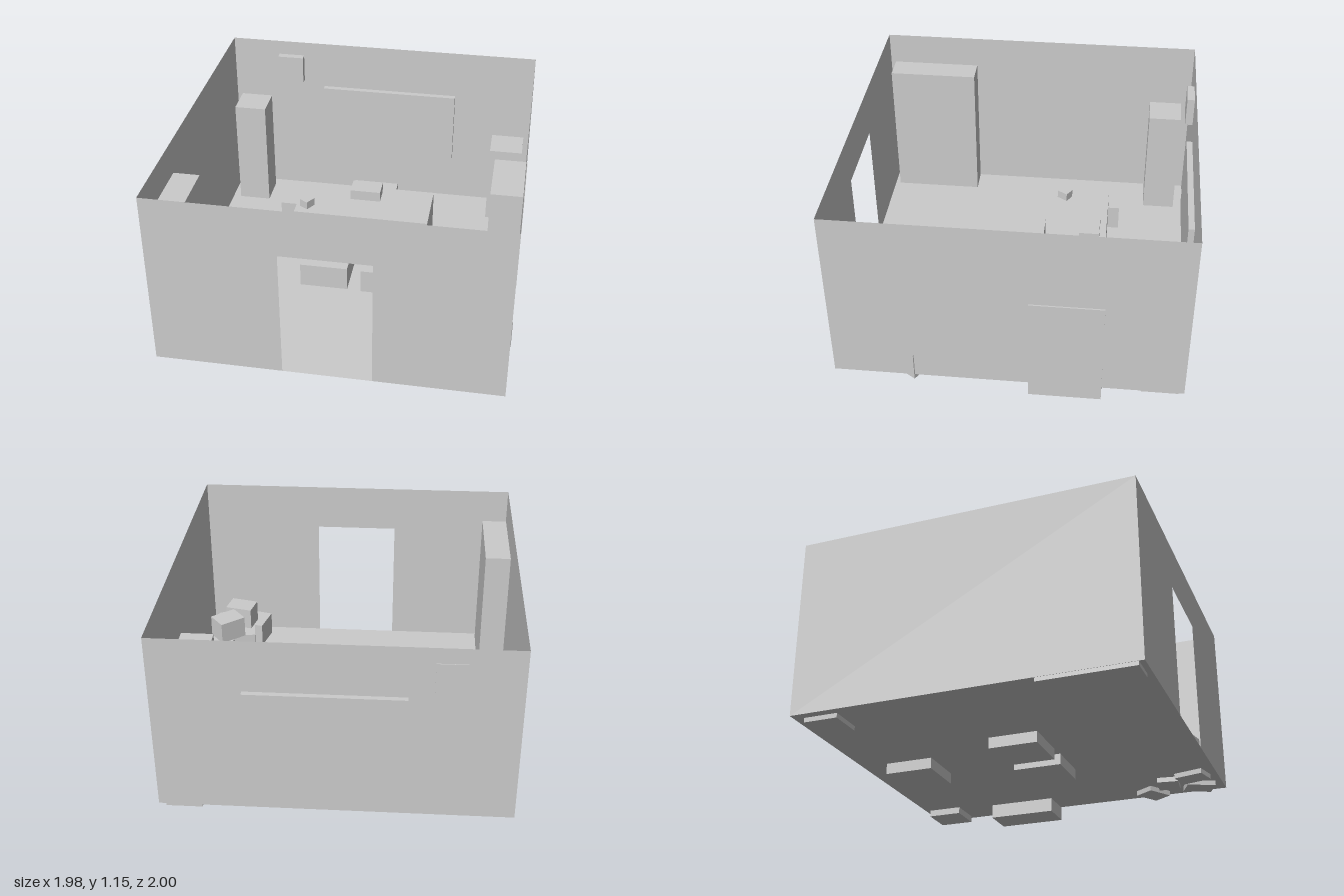
import * as THREE from 'three';

const LEFT = -0.99, RIGHT = 0.978, BACK = -0.97, FRONT = 1, FLOOR = 0.085, TOP = 1.155;

export function createModel() {
  const model = new THREE.Group();
  const material = new THREE.MeshStandardMaterial({ color: 0xcccccc, flatShading: true });
  const sheet = new THREE.MeshStandardMaterial({ color: 0xcccccc, side: THREE.DoubleSide });

  const add = (name, geometry, mat) => {
    const mesh = new THREE.Mesh(geometry, mat);
    mesh.name = name;
    model.add(mesh);
    return mesh;
  };

  // Box given by its extents along x, y and z
  const block = (name, [x0, x1], [y0, y1], [z0, z1]) => {
    const mesh = add(name, new THREE.BoxGeometry(x1 - x0, y1 - y0, z1 - z0), material);
    mesh.position.set((x0 + x1) / 2, (y0 + y1) / 2, (z0 + z1) / 2);
    return mesh;
  };

  // Box turned about the vertical axis, given by centre and size
  const turnedBlock = (name, x, z, w, d, [y0, y1], degrees) => {
    const mesh = block(name, [x - w / 2, x + w / 2], [y0, y1], [z - d / 2, z + d / 2]);
    mesh.rotation.y = -THREE.MathUtils.degToRad(degrees);
  };

  // Thin room shell: floor, back wall and side walls
  const width = RIGHT - LEFT, depth = FRONT - BACK, height = TOP - FLOOR;
  const midX = (LEFT + RIGHT) / 2, midY = (FLOOR + TOP) / 2, midZ = (FRONT + BACK) / 2;
  const floor = add('floor', new THREE.PlaneGeometry(width, depth), sheet);
  floor.rotation.x = -Math.PI / 2;
  floor.position.set(midX, FLOOR, midZ);

  const backWall = add('backWall', new THREE.PlaneGeometry(width, height), sheet);
  backWall.rotation.y = Math.PI;
  backWall.position.set(midX, midY, BACK);

  for (const [name, x, turn] of [['leftWall', RIGHT, 1], ['rightWall', LEFT, -1]]) {
    const wall = add(name, new THREE.PlaneGeometry(depth, height), sheet);
    wall.rotation.y = turn * Math.PI / 2;
    wall.position.set(x, midY, midZ);
  }

  // Front wall with a doorway down to the floor
  const outline = [
    [LEFT, FLOOR], [-0.26, FLOOR], [-0.26, 0.872], [0.245, 0.872],
    [0.245, FLOOR], [RIGHT, FLOOR], [RIGHT, TOP], [LEFT, TOP],
  ].map(([x, y]) => new THREE.Vector2(x, y));
  add('frontWall', new THREE.ShapeGeometry(new THREE.Shape(outline)), sheet).position.z = FRONT;

  // Desk and the things on it
  block('desk', [-0.43, 0.41], [0.09, 0.4], [-0.48, -0.12]);
  block('deskMachine', [-0.105, 0.085], [0.4, 0.465], [-0.44, -0.32]);
  turnedBlock('mug', -0.36, -0.203, 0.06, 0.07, [0.4, 0.45], 32);

  // Seats around the desk
  block('visitorChair', [-0.325, -0.035], [0.02, 0.235], [-0.085, 0.205]);
  block('visitorChair', [0.05, 0.335], [0.02, 0.235], [-0.078, 0.212]);
  block('deskChair', [-0.155, 0.135], [0.02, 0.235], [-0.81, -0.52]);

  // Furniture along the walls
  block('sideCabinet', [-0.988, -0.835], [0.062, 0.96], [0.43, 0.97]);
  block('cornerCabinet', [-0.94, -0.74], [0.058, 0.78], [-0.91, -0.71]);
  block('cornerStand', [0.74, 0.945], [0.045, 0.6], [-0.94, -0.73]);
  block('lowCabinet', [0.782, 0.986], [0, 0.67], [-0.51, -0.1]);
  block('wasteBin', [-0.585, -0.47], [0.09, 0.25], [-0.55, -0.43]);

  // Panels hung on the back wall
  block('wallBoard', [-0.39, 0.48], [0.39, 0.85], [-1, -0.935]);
  block('wallClock', [-0.69, -0.525], [0.885, 1.063], [-0.975, -0.925]);

  // Pile of cartons in the front corner: x, z, width, depth, degrees
  const lower = [0.055, 0.235], upper = [0.235, 0.373];
  const cartons = [
    [0.88, 0.553, 0.164, 0.128, 33, lower],
    [0.735, 0.688, 0.15, 0.13, -8, lower],
    [0.66, 0.855, 0.13, 0.18, 14, lower],
    [0.845, 0.857, 0.125, 0.175, -25.5, lower],
    [0.825, 0.62, 0.175, 0.138, -39, upper],
    [0.757, 0.797, 0.174, 0.13, 12.5, upper],
  ];
  for (const [x, z, w, d, degrees, span] of cartons) turnedBlock('carton', x, z, w, d, span, degrees);

  return model;
}
